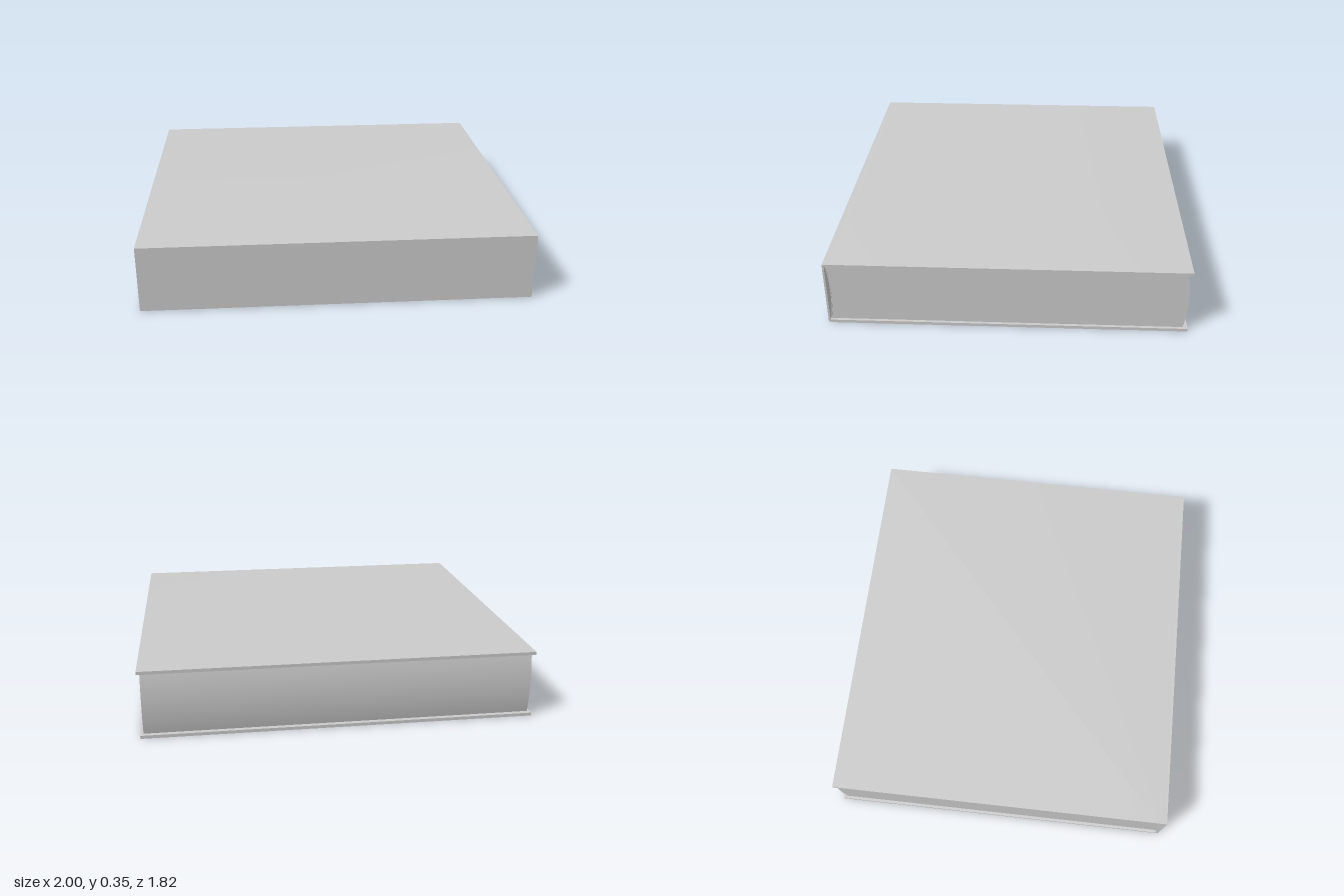
import * as THREE from 'three';
import { toCreasedNormals } from 'three/addons/utils/BufferGeometryUtils.js';

const HEIGHT = 0.353, BOARD = 0.016, MID = HEIGHT / 2;
const material = new THREE.MeshStandardMaterial({ color: 0xcccccc });

// Extrudes a (z, y) outline along x, centred on x = 0
function extrudeAlongX(name, outline, length) {
  const shape = new THREE.Shape(outline.map(([z, y]) => new THREE.Vector2(z, y)));
  let geometry = new THREE.ExtrudeGeometry(shape, { depth: length, bevelEnabled: false });
  geometry.rotateY(-Math.PI / 2).translate(length / 2, 0, 0);
  geometry = toCreasedNormals(geometry, 0.4);
  const mesh = new THREE.Mesh(geometry, material);
  mesh.name = name;
  return mesh;
}

// Shallow arc from bottom to top between the boards, pushed towards -z at mid height
function arc(zEnd, depth, y0, y1, steps = 20) {
  return Array.from({ length: steps + 1 }, (_, i) => {
    const t = i / steps;
    return [zEnd - depth * (1 - (2 * t - 1) ** 2), y0 + (y1 - y0) * t];
  });
}

export function createModel() {
  const book = new THREE.Group();
  book.name = 'book';

  // Two boards and the flat spine in one C-shaped wrap, slightly sloped at the hinges
  const upper = [
    [0.91, HEIGHT - 0.002], [0.895, HEIGHT - 0.002], [0.867, HEIGHT], [-0.91, HEIGHT],
    [-0.91, HEIGHT - BOARD], [0.9, HEIGHT - BOARD],
  ];
  const lower = upper.map(([z, y]) => [z, HEIGHT - y]).reverse();
  book.add(extrudeAlongX('cover', [...upper, ...lower], 2));

  // Page block: hollow at the spine, rounded at the fore edge
  const y0 = BOARD, y1 = HEIGHT - BOARD;
  book.add(extrudeAlongX('pages', [
    ...arc(0.897, 0.014, y0, y1),
    ...arc(-0.886, 0.018, y0, y1).reverse(),
  ], 1.97));

  // Thin lining glued over the spine side of the pages
  book.add(extrudeAlongX('spineLining', [
    ...arc(0.9, 0.013, y0, y1),
    ...arc(0.896, 0.013, y0, y1).reverse(),
  ], 1.975));

  return book;
}
